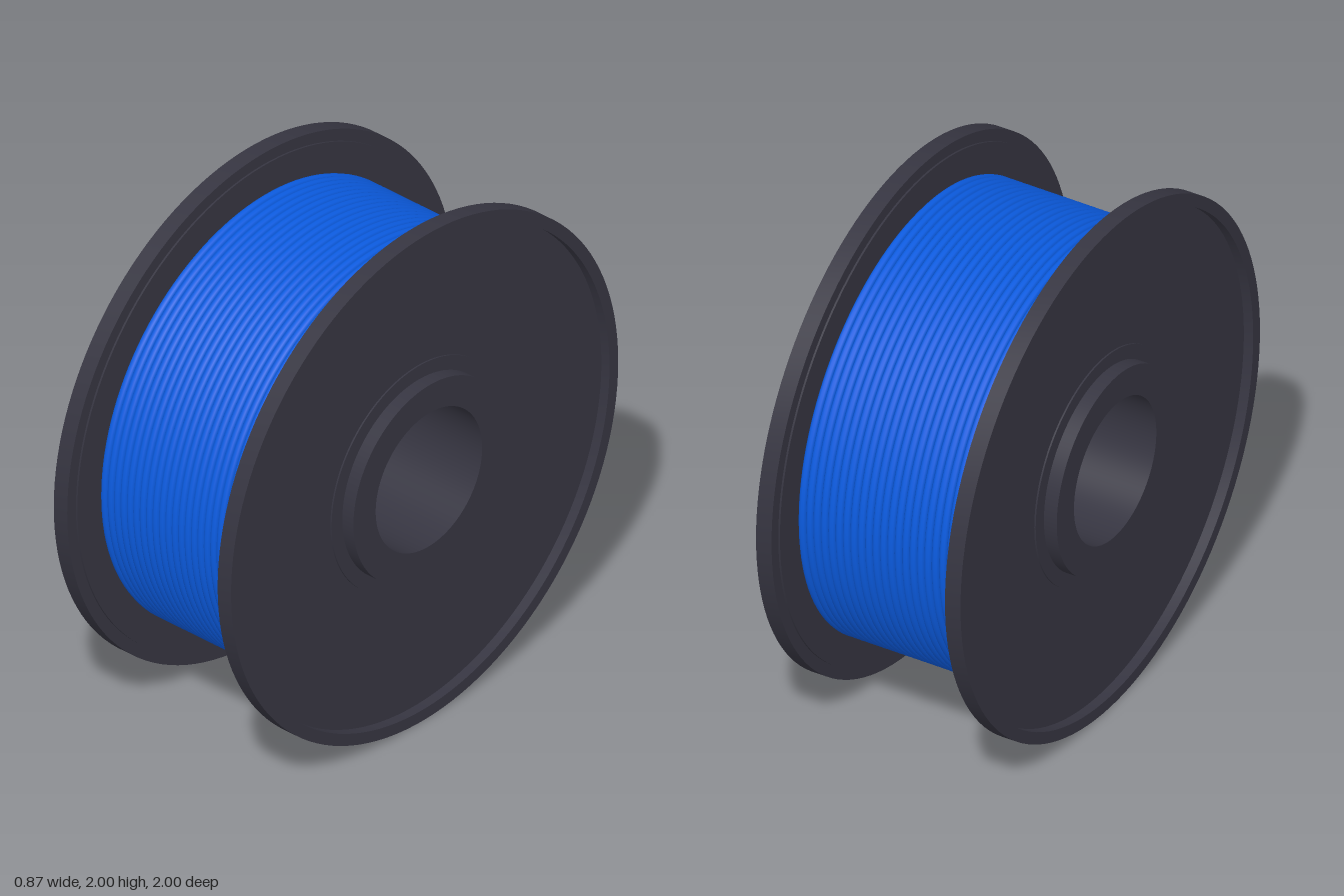
import * as THREE from 'three';
import { toCreasedNormals } from 'three/addons/utils/BufferGeometryUtils.js';

const SEGMENTS = 128;

// Revolves a closed (radius, x) profile around the x axis, keeping its edges sharp.
function revolve(profile) {
  const points = [...profile, profile[0]].map(([r, x]) => new THREE.Vector2(r, x));
  const geometry = new THREE.LatheGeometry(points, SEGMENTS);
  geometry.rotateZ(-Math.PI / 2);
  return toCreasedNormals(geometry, 0.5);
}

export function createModel() {
  const plastic = new THREE.MeshStandardMaterial({ name: 'charcoal plastic', color: 0x363541 });
  const blue = new THREE.MeshStandardMaterial({ name: 'blue filament', color: 0x0b5be0 });

  const spool = new THREE.Group();
  spool.name = 'spool';
  const add = (name, geometry, material, parent = spool) => {
    const mesh = new THREE.Mesh(geometry, material);
    mesh.name = name;
    parent.add(mesh);
    return mesh;
  };

  // Hollow hub running right through the spool
  add('hub', revolve([[0.39, -0.435], [0.39, 0.435], [0.275, 0.435], [0.275, -0.435]]), plastic);

  // Side discs: raised rim, recessed outer face, low collar around the hub
  const flangeGeometry = revolve([
    [0.38, 0.345], [0.955, 0.345], [0.955, 0.352], [1, 0.352], [1, 0.415],
    [0.955, 0.415], [0.955, 0.377], [0.445, 0.377], [0.445, 0.383], [0.38, 0.383],
  ]);
  for (const [name, turn] of [['leftFlange', 0], ['rightFlange', Math.PI]]) {
    add(name, flangeGeometry, plastic).rotation.y = turn;
  }

  // Wound filament: a solid core with rounded strands side by side
  const winding = new THREE.Group();
  winding.name = 'filamentWinding';
  spool.add(winding);
  add('windingCore', revolve([[0.826, -0.345], [0.826, 0.345], [0.38, 0.345], [0.38, -0.345]]), blue, winding);

  const strands = 23;
  const pitch = 0.69 / strands;
  const strandGeometry = new THREE.TorusGeometry(0.842 - pitch / 2, pitch / 2, 10, SEGMENTS);
  strandGeometry.rotateY(Math.PI / 2);
  for (let i = 0; i < strands; i++) {
    add('filamentStrand', strandGeometry, blue, winding).position.x = (i - (strands - 1) / 2) * pitch;
  }

  spool.position.y = 1;
  const model = new THREE.Group();
  model.name = 'filamentSpool';
  model.add(spool);
  return model;
}
